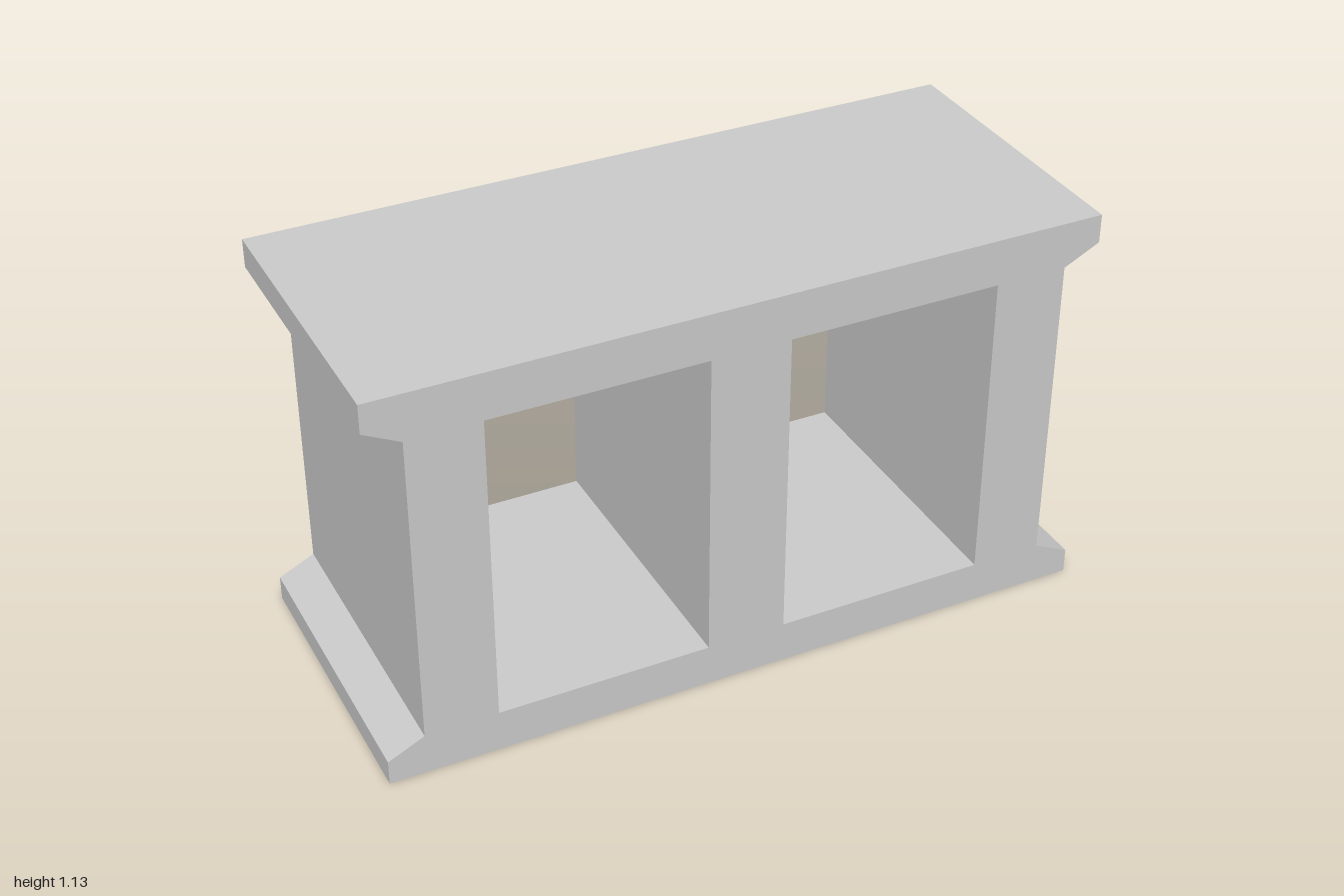
import * as THREE from 'three';

const DEPTH = 0.84;

export function createModel() {
  const group = new THREE.Group();
  group.name = 'hollowBlock';

  // Right half of the outline, bottom to top, mirrored for the left half
  const half = [[1, 0], [1, 0.07], [0.9, 0.118], [0.9, 1], [1, 1.05], [1, 1.13]];
  const outline = [...half, ...half.map(([x, y]) => [-x, y]).reverse()];
  const shape = new THREE.Shape(outline.map(([x, y]) => new THREE.Vector2(x, y)));

  // Two rectangular cores either side of the central web
  for (const [x0, x1] of [[-0.7, -0.11], [0.11, 0.7]]) {
    const core = [[x0, 0.118], [x0, 1], [x1, 1], [x1, 0.118]];
    shape.holes.push(new THREE.Path(core.map(([x, y]) => new THREE.Vector2(x, y))));
  }

  const geometry = new THREE.ExtrudeGeometry(shape, { depth: DEPTH, bevelEnabled: false });
  geometry.translate(0, 0, -DEPTH / 2);

  const block = new THREE.Mesh(
    geometry,
    new THREE.MeshStandardMaterial({ color: 0xcccccc, flatShading: true })
  );
  block.name = 'blockBody';
  group.add(block);
  return group;
}
